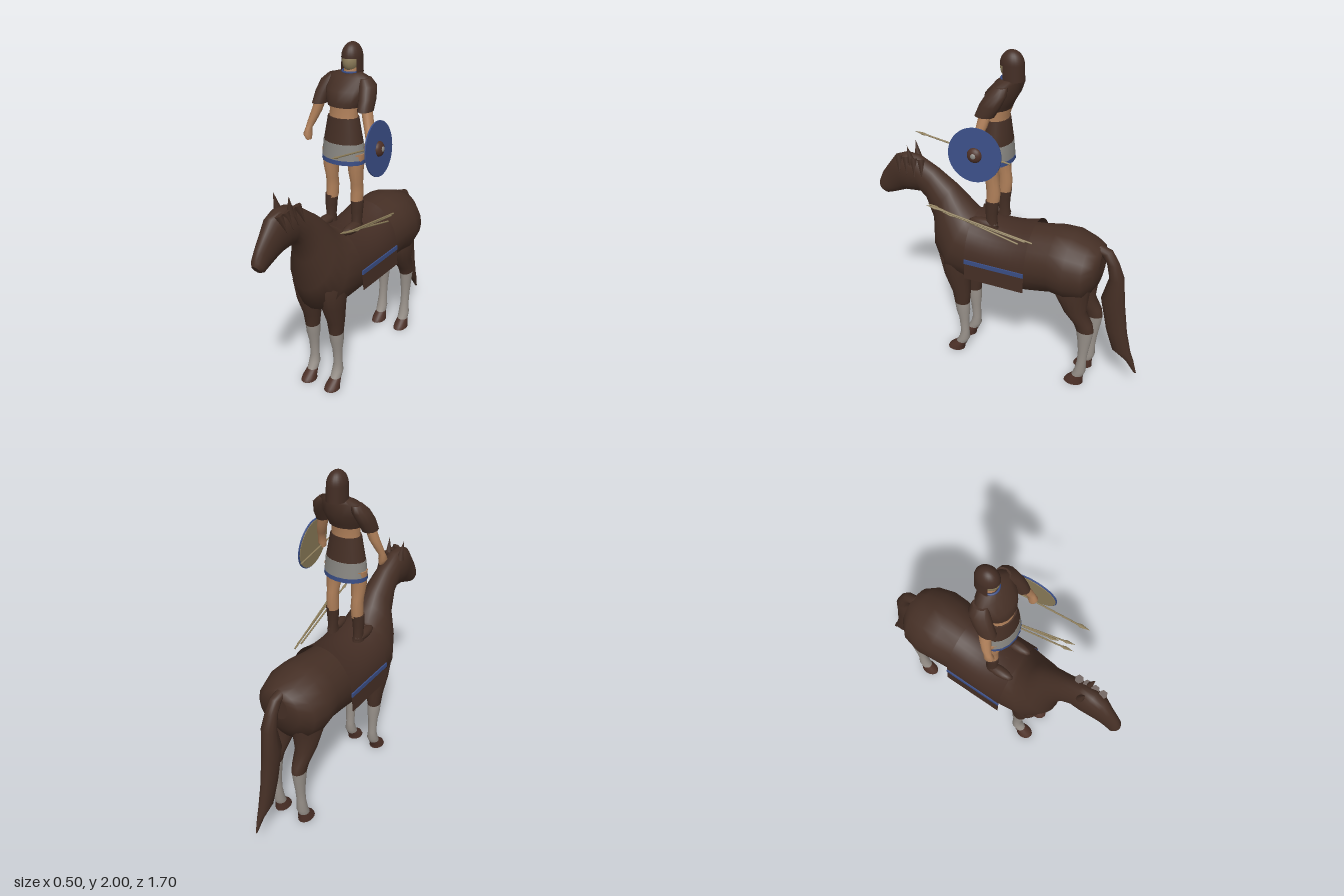
import * as THREE from 'three';

const mat = (name, color, side = THREE.FrontSide) => {
  const m = new THREE.MeshStandardMaterial({ color, side });
  m.name = name;
  return m;
};

// Loft through elliptical rings [y, z, halfWidth, halfDepth, tiltDegrees = 0, x = 0].
// Tilt 0 gives level rings listed downward; tilt 90 gives upright rings listed forward.
function loft(rings, n = 16) {
  const pos = [], idx = [];
  for (const [y, z, rx, rd, tilt = 0, x = 0] of rings) {
    const a = THREE.MathUtils.degToRad(tilt);
    for (let j = 0; j < n; j++) {
      const t = (j / n) * Math.PI * 2, d = rd * Math.sin(t);
      pos.push(x + rx * Math.cos(t), y + d * Math.sin(a), z + d * Math.cos(a));
    }
  }
  const last = rings.length - 1;
  for (let i = 0; i < last; i++) for (let j = 0; j < n; j++) {
    const k = (j + 1) % n, a = i * n + j, b = i * n + k;
    idx.push(a, b, b + n, a, b + n, a + n);
  }
  // End caps on their own vertices
  for (const [ring, flip] of [[0, true], [last, false]]) {
    const base = pos.length / 3, [y, z, , , , x = 0] = rings[ring];
    for (let j = 0; j < n; j++) pos.push(...pos.slice((ring * n + j) * 3, (ring * n + j) * 3 + 3));
    pos.push(x, y, z);
    for (let j = 0; j < n; j++) {
      const k = (j + 1) % n;
      idx.push(base + n, base + (flip ? k : j), base + (flip ? j : k));
    }
  }
  const g = new THREE.BufferGeometry();
  g.setAttribute('position', new THREE.Float32BufferAttribute(pos, 3));
  g.setIndex(idx);
  g.computeVertexNormals();
  return g;
}

export function createModel() {
  const brown = mat('dark brown', 0x452f25), hoofBrown = mat('hoof brown', 0x4d3128);
  const white = mat('sock grey', 0x99928b), skin = mat('skin', 0xb0805a);
  const tan = mat('tan wood', 0x8f7f5c), blue = mat('blue', 0x3a4e86);
  const grey = mat('skirt grey', 0x8a8883);
  const cloth = mat('cloth brown', 0x432d24, THREE.DoubleSide);

  const model = new THREE.Group();
  const horse = new THREE.Group(), rider = new THREE.Group();
  horse.name = 'horse';
  rider.name = 'rider';
  horse.position.x = rider.position.x = -0.02;
  model.add(horse, rider);
  const add = (parent, name, geo, m, x = 0, y = 0, z = 0) => {
    const mesh = new THREE.Mesh(geo, m);
    mesh.name = name;
    mesh.position.set(x, y, z);
    parent.add(mesh);
    return mesh;
  };

  // Horse trunk, neck and head in one skin
  add(horse, 'horseBody', loft([
    [0.84, -0.6, 0.06, 0.07, 90], [0.82, -0.585, 0.13, 0.125, 90],
    [0.785, -0.53, 0.19, 0.18, 90], [0.79, -0.43, 0.215, 0.21, 90],
    [0.8, -0.33, 0.208, 0.2, 90], [0.775, -0.2, 0.19, 0.208, 90],
    [0.75, 0, 0.19, 0.213, 90], [0.765, 0.17, 0.195, 0.23, 92],
    [0.78, 0.29, 0.18, 0.237, 112], [0.895, 0.36, 0.14, 0.2, 118],
    [1.015, 0.395, 0.1, 0.135, 119], [1.117, 0.478, 0.075, 0.105, 106],
    [1.165, 0.555, 0.068, 0.115, 85], [1.167, 0.62, 0.07, 0.124, 76],
    [1.15, 0.685, 0.062, 0.115, 73], [1.105, 0.735, 0.048, 0.092, 66],
    [1.065, 0.78, 0.04, 0.073, 59], [1.03, 0.815, 0.038, 0.05, 57],
    [1.02, 0.83, 0.025, 0.03, 55]], 20), brown);

  // Legs: coat, sock and hoof
  const frontLeg = [[0.85, 0.27, 0.05, 0.09], [0.7, 0.29, 0.078, 0.11], [0.57, 0.285, 0.066, 0.085],
    [0.45, 0.262, 0.05, 0.058], [0.37, 0.26, 0.041, 0.048], [0.31, 0.255, 0.039, 0.044],
    [0.25, 0.25, 0.03, 0.032], [0.15, 0.245, 0.027, 0.027], [0.1, 0.25, 0.034, 0.035],
    [0.06, 0.27, 0.032, 0.036], [0.02, 0.305, 0.042, 0.05], [0, 0.31, 0.045, 0.055]];
  const hindLeg = [[0.85, -0.47, 0.07, 0.11], [0.65, -0.45, 0.082, 0.108], [0.53, -0.475, 0.06, 0.07],
    [0.45, -0.53, 0.045, 0.058], [0.4, -0.545, 0.039, 0.053], [0.33, -0.545, 0.034, 0.042],
    [0.25, -0.542, 0.028, 0.031], [0.17, -0.536, 0.027, 0.028], [0.1, -0.53, 0.034, 0.035],
    [0.06, -0.515, 0.033, 0.036], [0.02, -0.495, 0.041, 0.054], [0, -0.49, 0.043, 0.06]];
  for (const s of [-1, 1]) {
    for (const [name, leg] of [['front', frontLeg], ['hind', hindLeg]]) {
      add(horse, name + 'Leg', loft(leg.slice(0, 5)), brown, s * 0.085);
      add(horse, name + 'Sock', loft(leg.slice(4, 10)), white, s * 0.085);
      add(horse, name + 'Hoof', loft(leg.slice(9)), hoofBrown, s * 0.085);
    }
    const ear = add(horse, 'horseEar', new THREE.ConeGeometry(0.024, 0.12, 8), brown, s * 0.045, 1.295, 0.6);
    ear.rotation.set(0.2, 0, -s * 0.08);
  }

  // Tail and loose mane locks
  add(horse, 'tail', loft([[0.93, -0.56, 0.03, 0.03, -40], [0.91, -0.62, 0.032, 0.035, -30],
    [0.85, -0.66, 0.036, 0.036], [0.757, -0.688, 0.045, 0.043], [0.6, -0.675, 0.046, 0.072],
    [0.4, -0.71, 0.04, 0.065], [0.26, -0.75, 0.033, 0.058], [0.2, -0.805, 0.018, 0.025],
    [0.12, -0.845, 0.004, 0.008]], 12), brown);
  for (let i = 0; i < 4; i++) {
    const lock = add(horse, 'maneLock', new THREE.ConeGeometry(0.025, 0.11, 6), brown, 0.055, 1.22, 0.52 + i * 0.05);
    lock.rotation.set(0.2, 0, Math.PI + 0.35);
  }

  // Saddle cloth draped over the back and hanging straight at the sides
  const drape = new THREE.PlaneGeometry(1, 1, 28, 8), p = drape.attributes.position;
  for (let i = 0; i < p.count; i++) {
    const u = p.getX(i) * 2.8, z = p.getY(i) * 0.375 - 0.012;
    const t = THREE.MathUtils.clamp(u, -1, 1) * Math.PI / 2;
    const hang = Math.max(0, Math.abs(u) - 1) * 0.275;
    p.setXYZ(i, (0.208 + hang * 0.08) * Math.sin(t), 0.76 - hang + (0.212 + z * z) * Math.cos(t), z);
  }
  drape.computeVertexNormals();
  add(horse, 'saddleCloth', drape, cloth);
  for (const s of [-1, 1])
    add(horse, 'clothStripe', new THREE.BoxGeometry(0.008, 0.026, 0.375), blue, s * 0.211, 0.762, -0.012);

  // Rider's torso and clothes, top to bottom
  const torso = [
    ['tunicTop', brown, [[1.845, -0.02, 0.06, 0.042], [1.828, -0.01, 0.12, 0.06], [1.76, 0.02, 0.122, 0.09],
      [1.7, 0.04, 0.105, 0.08], [1.675, 0.045, 0.096, 0.075]]],
    ['midriff', skin, [[1.69, 0.043, 0.085, 0.066], [1.64, 0.047, 0.083, 0.062], [1.6, 0.05, 0.086, 0.064]]],
    ['tunicWaist', brown, [[1.615, 0.05, 0.092, 0.07], [1.54, 0.05, 0.106, 0.078], [1.47, 0.05, 0.12, 0.085]]],
    ['skirt', grey, [[1.475, 0.05, 0.121, 0.086], [1.385, 0.05, 0.13, 0.092]]],
    ['skirtHem', blue, [[1.385, 0.05, 0.131, 0.093], [1.36, 0.05, 0.132, 0.094]]],
    ['neck', skin, [[1.9, -0.03, 0.034, 0.036], [1.83, -0.02, 0.04, 0.04]]]];
  for (const [name, m, rings] of torso) add(rider, name, loft(rings), m);
  const collar = add(rider, 'collar', new THREE.TorusGeometry(0.046, 0.006, 6, 20), blue, 0, 1.846, -0.02);
  collar.rotation.x = Math.PI / 2;

  // Arms, legs and boots
  for (const s of [-1, 1]) {
    add(rider, 'sleeve', loft([[1.825, -0.01, 0.03, 0.04, 0, s * 0.1], [1.79, 0, 0.046, 0.058, 0, s * 0.122],
      [1.73, 0.03, 0.043, 0.062, 0, s * 0.14], [1.67, 0.06, 0.04, 0.056, 0, s * 0.147]], 12), brown);
    add(rider, 'arm', loft([[1.7, 0.05, 0.03, 0.035, 0, s * 0.145], [1.62, 0.065, 0.029, 0.032, 0, s * 0.168],
      [1.56, 0.085, 0.024, 0.026, 0, s * 0.188], [1.525, 0.1, 0.018, 0.022, 0, s * 0.198],
      [1.49, 0.11, 0.024, 0.03, 0, s * 0.2], [1.46, 0.11, 0.013, 0.02, 0, s * 0.192]], 12), skin);
    add(rider, 'leg', loft([[1.42, 0.05, 0.05, 0.052], [1.32, 0.055, 0.043, 0.046], [1.24, 0.045, 0.034, 0.04],
      [1.19, 0.04, 0.034, 0.042], [1.12, 0.045, 0.033, 0.039]], 12), skin, s * 0.083);
    add(rider, 'boot', loft([[1.135, 0.045, 0.036, 0.042], [1.07, 0.05, 0.033, 0.037], [1.01, 0.05, 0.028, 0.033],
      [0.96, 0.055, 0.032, 0.045]], 12), brown, s * 0.088);
    const foot = add(rider, 'foot', new THREE.SphereGeometry(1, 12, 8), brown, s * 0.092, 0.982, 0.1);
    foot.scale.set(0.034, 0.03, 0.092);
  }

  // Head and helmet with neck guard
  const face = add(rider, 'face', new THREE.SphereGeometry(1, 16, 12), tan, 0, 1.905, -0.022);
  face.scale.set(0.044, 0.065, 0.054);
  const dome = add(rider, 'helmetDome',
    new THREE.SphereGeometry(1, 20, 10, 0, Math.PI * 2, 0, Math.PI / 2), cloth, 0, 1.92, -0.035);
  dome.scale.set(0.055, 0.08, 0.068);
  const guard = add(rider, 'helmetNeckGuard',
    new THREE.CylinderGeometry(1, 1.04, 0.085, 20, 1, true, 1.05, Math.PI * 2 - 2.1), cloth, 0, 1.88, -0.035);
  guard.scale.set(0.055, 1, 0.068);

  // Round shield on the left arm
  const shield = new THREE.Group();
  shield.name = 'shield';
  shield.position.set(0.222, 1.48, 0.075);
  shield.rotation.set(0, 0.08, -Math.PI / 2 + 0.1);
  model.add(shield);
  add(shield, 'shieldFace', new THREE.CylinderGeometry(0.151, 0.151, 0.008, 40), blue);
  add(shield, 'shieldBack', new THREE.CylinderGeometry(0.146, 0.146, 0.005, 40), tan, 0, -0.005);
  const boss = add(shield, 'shieldBoss', new THREE.SphereGeometry(0.043, 18, 8, 0, Math.PI * 2, 0, Math.PI / 2), hoofBrown);
  boss.scale.y = 0.65;
  const tip = add(shield, 'bossTip', new THREE.SphereGeometry(0.017, 12, 6, 0, Math.PI * 2, 0, Math.PI / 2), grey, 0, 0.022);
  tip.scale.y = 0.6;

  // Javelins: one in the hand, the rest resting on the horse's back
  const javelin = (from, to) => {
    const a = new THREE.Vector3(...from), b = new THREE.Vector3(...to), len = a.distanceTo(b);
    const g = new THREE.Group();
    g.name = 'javelin';
    g.position.copy(a);
    g.quaternion.setFromUnitVectors(new THREE.Vector3(0, 1, 0), b.sub(a).normalize());
    add(g, 'shaft', new THREE.CylinderGeometry(0.005, 0.005, len - 0.06, 8), tan, 0, (len - 0.06) / 2);
    const head = add(g, 'spearhead', new THREE.LatheGeometry([[0.005, 0], [0.011, 0.025], [0, 0.08]]
      .map(([r, y]) => new THREE.Vector2(r, y)), 8), tan, 0, len - 0.08);
    head.scale.z = 0.6;
    model.add(g);
  };
  javelin([0.17, 1.44, -0.11], [0.18, 1.535, 0.46]);
  javelin([0.14, 0.96, -0.23], [0.225, 1.11, 0.39]);
  javelin([0.155, 0.945, -0.15], [0.19, 1.1, 0.4]);
  javelin([0.15, 0.965, -0.19], [0.205, 1.075, 0.3]);
  return model;
}
